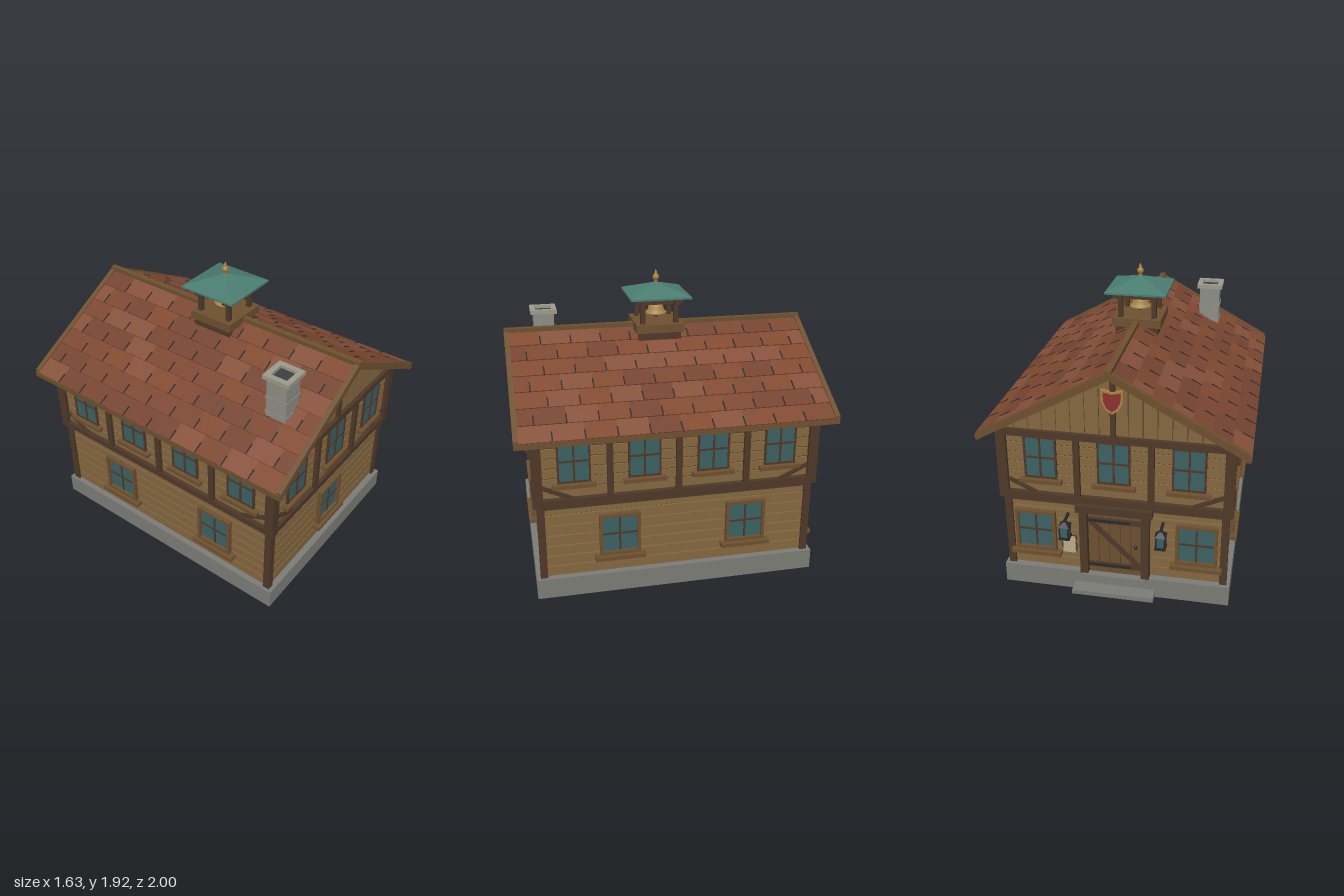
import * as THREE from 'three';

const mat = (color, extra = {}) => new THREE.MeshStandardMaterial({ color, flatShading: true, ...extra });
const M = {
  stone: mat(0x7b7b76), plank: mat(0x84663f), gap: mat(0x3a2a1c), timber: mat(0x4e3828), trim: mat(0x6d5030),
  glass: mat(0x3b6062), copper: mat(0x4a7c6f), gold: mat(0xa8823f), iron: mat(0x25282a), chimney: mat(0x8d8d85),
  cap: mat(0x9c9a8c), soot: mat(0x3a4040), paper: mat(0xb8ab8c), red: mat(0x8c3030),
  bell: mat(0xa8854a, { flatShading: false, side: THREE.DoubleSide }),
  tiles: [0x80492f, 0x7a4630, 0x744330, 0x85503a].map(c => mat(c)),
};

function add(parent, name, geo, m, x = 0, y = 0, z = 0) {
  const mesh = new THREE.Mesh(geo, m);
  mesh.name = name;
  mesh.position.set(x, y, z);
  parent.add(mesh);
  return mesh;
}
// Box given by its limits on each axis
const box = (p, name, m, x0, x1, y0, y1, z0, z1) =>
  add(p, name, new THREE.BoxGeometry(x1 - x0, y1 - y0, z1 - z0), m, (x0 + x1) / 2, (y0 + y1) / 2, (z0 + z1) / 2);
// Flat bar between two points of a wall
function bar(p, name, m, ax, ay, bx, by, w, z0, z1) {
  const b = add(p, name, new THREE.BoxGeometry(Math.hypot(bx - ax, by - ay), w, z1 - z0), m, (ax + bx) / 2, (ay + by) / 2, (z0 + z1) / 2);
  b.rotation.z = Math.atan2(by - ay, bx - ax);
}
// Polygon in xy pulled from z0 to z1
function prism(p, name, m, pts, z0, z1) {
  const geo = new THREE.ExtrudeGeometry(new THREE.Shape(pts.map(q => new THREE.Vector2(...q))), { depth: z1 - z0, bevelEnabled: false });
  return add(p, name, geo, m, 0, 0, z0);
}
let seed = 7;
const rand = () => (seed = (seed * 16807) % 2147483647) / 2147483647;

const SLOPE = 0.55;
const HX = 0.725, HZ = 0.905;

// Casement with four panes and a sill; d is the plank face it sits on
function windowUnit(wall, u, y0, y1, hw, d, out, frameMat, t) {
  const g = new THREE.Group();
  g.name = 'window';
  g.position.x = u;
  wall.add(g);
  box(g, 'glass', M.glass, -hw + t / 2, hw - t / 2, y0 + t / 2, y1 - t / 2, d - 0.03, d + 0.008);
  for (const s of [-1, 1]) box(g, 'jamb', frameMat, s * (hw - t / 2) - t / 2, s * (hw - t / 2) + t / 2, y0, y1, d - 0.02, out);
  box(g, 'head', frameMat, -hw, hw, y1 - t, y1, d - 0.02, out);
  box(g, 'foot', frameMat, -hw, hw, y0, y0 + t, d - 0.02, out);
  const my = (y0 + y1) / 2;
  box(g, 'mullion', M.timber, -0.006, 0.006, y0, y1, d, d + 0.014);
  box(g, 'transom', M.timber, -hw + t, hw - t, my - 0.006, my + 0.006, d, d + 0.014);
  box(g, 'sill', M.trim, -hw - 0.032, hw + 0.032, y0 - 0.03, y0 - 0.005, d - 0.02, out + 0.022);
}

// One wall seen from outside: half width w, outer depth d, local +z outward
function buildWall(root, name, turn, w, d, upper, posts, lower) {
  const g = new THREE.Group();
  g.name = name;
  g.rotation.y = turn;
  root.add(g);
  const siding = (y0, y1, n, z, hw) => {
    const h = (y1 - y0) / n;
    for (let i = 0; i < n; i++) box(g, 'plank', M.plank, -hw, hw, y0 + i * h + 0.005, y0 + (i + 1) * h - 0.004, z - 0.03, z);
  };
  const zl = d - 0.035, zu = d - 0.022;
  siding(0.135, 0.64, 7, zl, w - 0.05);
  siding(0.69, 1.09, 6, zu, w - 0.05);
  box(g, 'lowerPlate', M.timber, -w + 0.03, w - 0.03, 0.61, 0.645, zl - 0.02, zl + 0.006);
  box(g, 'floorBeam', M.timber, -w, w, 0.643, 0.688, d - 0.06, d);
  box(g, 'topPlate', M.timber, -w, w, 1.075, 1.118, d - 0.06, d - 0.001);
  for (const u of posts) box(g, 'stud', M.timber, u - 0.019, u + 0.019, 0.688, 1.118, d - 0.05, d + 0.002);
  for (const s of [-1, 1]) bar(g, 'brace', M.timber, s * (w - 0.06), 0.77, s * (w - 0.24), 0.685, 0.026, zu - 0.01, zu + 0.012);
  for (const u of upper) windowUnit(g, u, 0.793, 1.078, 0.102, zu, zu + 0.014, M.timber, 0.012);
  for (const u of lower) windowUnit(g, u, 0.263, 0.548, 0.13, zl, zl + 0.028, M.trim, 0.02);
  return g;
}

// Boarded gable with a king post
function buildGable(wall) {
  const top = x => 1.53 - SLOPE * Math.abs(x);
  prism(wall, 'gableBacking', M.gap, [[-0.7, 1.1], [0.7, 1.1], [0.7, top(0.7)], [0, top(0)], [-0.7, top(0.7)]], 0.83, 0.866);
  const step = 0.0875;
  for (let i = -8; i < 8; i++) {
    const a = i * step + 0.002, b = (i + 1) * step - 0.002;
    prism(wall, 'gableBoard', M.plank, [[a, 1.1], [b, 1.1], [b, top(b)], [a, top(a)]], 0.85, 0.878);
  }
  box(wall, 'kingPost', M.timber, -0.016, 0.016, 1.11, 1.53, 0.86, 0.9);
}

// Door, lanterns, notice, steps and shield on the back wall
function buildEntrance(wall) {
  for (let i = 0; i < 5; i++) box(wall, 'doorBoard', M.trim, -0.17 + i * 0.068 + 0.002, -0.17 + (i + 1) * 0.068 - 0.002, 0.135, 0.59, 0.85, 0.89);
  for (const s of [-1, 1]) box(wall, 'doorPost', M.timber, s * 0.195 - 0.025, s * 0.195 + 0.025, 0.135, 0.6, 0.85, 0.922);
  box(wall, 'doorLintel', M.timber, -0.24, 0.24, 0.59, 0.64, 0.85, 0.93);
  for (const y of [0.2, 0.53]) {
    box(wall, 'doorLedge', M.timber, -0.165, 0.165, y - 0.018, y + 0.018, 0.88, 0.9);
    box(wall, 'hingeStrap', M.iron, -0.17, 0.1, y - 0.007, y + 0.007, 0.89, 0.908);
  }
  bar(wall, 'doorBrace', M.timber, -0.15, 0.515, 0.15, 0.215, 0.032, 0.88, 0.9);
  add(wall, 'doorKnob', new THREE.SphereGeometry(0.013, 10, 8), M.iron, 0.135, 0.36, 0.905);
  box(wall, 'threshold', M.stone, -0.2, 0.2, 0.11, 0.137, 0.86, 0.935);
  box(wall, 'step', M.stone, -0.26, 0.26, 0.025, 0.055, 0.88, 1.0);
  for (const s of [-1, 1]) {
    const l = new THREE.Group();
    l.name = 'lantern';
    l.position.set(s * 0.3, 0.475, 0.96);
    wall.add(l);
    box(l, 'lanternGlass', M.glass, -0.025, 0.025, -0.04, 0.035, -0.025, 0.025);
    box(l, 'lanternBase', M.iron, -0.034, 0.034, -0.055, -0.04, -0.034, 0.034);
    const hood = add(l, 'lanternHood', new THREE.CylinderGeometry(0.012, 0.05, 0.028, 4), M.iron, 0, 0.048, 0);
    hood.rotation.y = Math.PI / 4;
    for (const a of [-1, 1]) for (const b of [-1, 1])
      box(l, 'lanternBar', M.iron, a * 0.027 - 0.004, a * 0.027 + 0.004, -0.04, 0.035, b * 0.027 - 0.004, b * 0.027 + 0.004);
    box(l, 'lanternBracket', M.iron, -0.008, 0.008, 0.058, 0.072, -0.1, 0.008);
  }
  // Notice hangs under the lantern on the model's left
  box(wall, 'noticeBoard', M.timber, -0.35, -0.25, 0.24, 0.38, 0.83, 0.87);
  box(wall, 'noticePaper', M.paper, -0.34, -0.26, 0.25, 0.37, 0.86, 0.876);
  const shield = k => [[-0.06, 0.06], [0, 0.045], [0.06, 0.06], [0.058, -0.01], [0.035, -0.055], [0, -0.08], [-0.035, -0.055], [-0.058, -0.01]]
    .reverse().map(([x, y]) => [x * k, 1.36 + y * k]);
  prism(wall, 'shieldRim', M.gold, shield(1.1), 0.89, 0.912);
  prism(wall, 'shieldFace', M.red, shield(0.85), 0.9, 0.92);
}

function buildRoof(root) {
  const chevron = (t, x, h) => [[x, t - SLOPE * x], [0, t], [-x, t - SLOPE * x], [-x, t - h - SLOPE * x], [0, t - h], [x, t - h - SLOPE * x]].reverse();
  prism(root, 'roofDeck', M.gap, chevron(1.55, 0.79, 0.028), -0.975, 0.975);
  for (const z of [-1, 0.968]) prism(root, 'bargeboard', M.trim, chevron(1.572, 0.805, 0.05), z, z + 0.032);
  box(root, 'ridgeBeam', M.trim, -0.018, 0.018, 1.54, 1.578, -1, 1);
  const len = Math.hypot(0.8, 0.8 * SLOPE), row = len / 7, w = 1.936 / 10;
  for (const s of [-1, 1]) {
    box(root, 'eavesBoard', M.trim, s * 0.8 - 0.015, s * 0.8 + 0.015, 1.08, 1.114, -0.995, 0.995);
    const side = new THREE.Group();
    side.name = 'roofSlope';
    side.rotation.y = s < 0 ? Math.PI : 0;
    const plane = new THREE.Group();
    plane.name = 'tileRows';
    plane.position.y = 1.55;
    plane.rotation.z = -Math.atan(SLOPE);
    side.add(plane);
    root.add(side);
    for (let r = 0; r < 7; r++) {
      const off = r % 2 ? w / 2 : 0;
      for (let k = -1; k < 10; k++) {
        const a = Math.max(-0.968, -0.968 + k * w + off), b = Math.min(0.968, -0.968 + (k + 1) * w + off);
        if (b - a < 0.01) continue;
        const tile = box(plane, 'tile', M.tiles[Math.floor(rand() * 4)], r * row, (r + 1) * row + 0.008, 0, 0.012, a, b);
        tile.rotation.z = 0.05;
        if (a > -0.96) box(plane, 'tileJoint', M.iron, (r + 0.5) * row, (r + 1) * row + 0.006, 0.004, 0.0165, a - 0.004, a + 0.004);
      }
    }
  }
}

function buildBellTower(root) {
  const g = new THREE.Group();
  g.name = 'bellTower';
  root.add(g);
  box(g, 'towerFoot', M.timber, -0.14, 0.14, 1.475, 1.54, -0.14, 0.14);
  box(g, 'towerBase', M.trim, -0.16, 0.16, 1.535, 1.59, -0.157, 0.157);
  for (const s of [-1, 1]) {
    for (const t of [-1, 1]) box(g, 'towerPost', M.timber, s * 0.11 - 0.015, s * 0.11 + 0.015, 1.59, 1.72, t * 0.11 - 0.015, t * 0.11 + 0.015);
    box(g, 'towerBeam', M.timber, -0.158, 0.158, 1.715, 1.755, s * 0.11 - 0.018, s * 0.11 + 0.018);
    box(g, 'towerBeam', M.timber, s * 0.11 - 0.018, s * 0.11 + 0.018, 1.716, 1.754, -0.157, 0.157);
  }
  box(g, 'bellYoke', M.timber, -0.11, 0.11, 1.712, 1.735, -0.014, 0.014);
  const profile = [[0, 0.075], [0.025, 0.073], [0.043, 0.06], [0.052, 0.035], [0.056, 0.014], [0.07, 0.008], [0.07, 0]].reverse();
  add(g, 'bell', new THREE.LatheGeometry(profile.map(p => new THREE.Vector2(...p)), 20), M.bell, 0, 1.634, 0);
  add(g, 'clapper', new THREE.CylinderGeometry(0.007, 0.009, 0.08, 8), M.iron, 0, 1.647, 0);
  box(g, 'towerRoofEdge', M.copper, -0.198, 0.198, 1.758, 1.77, -0.198, 0.198);
  const r = add(g, 'towerRoof', new THREE.ConeGeometry(0.198 * Math.SQRT2, 0.07, 4), M.copper, 0, 1.805, 0);
  r.rotation.y = Math.PI / 4;
  const fin = [[0.012, 0], [0.012, 0.02], [0.022, 0.04], [0.02, 0.052], [0.012, 0.06], [0.008, 0.075], [0, 0.095]];
  add(g, 'finial', new THREE.LatheGeometry(fin.map(p => new THREE.Vector2(...p)), 10), M.gold, 0, 1.828, 0);
}

function buildChimney(root) {
  const g = new THREE.Group();
  g.name = 'chimney';
  g.position.set(-0.395, 0, 0.72);
  root.add(g);
  box(g, 'shaft', M.chimney, -0.07, 0.07, 1.25, 1.58, -0.07, 0.07);
  for (const y of [1.34, 1.445]) box(g, 'band', M.chimney, -0.074, 0.074, y - 0.01, y + 0.01, -0.074, 0.074);
  for (const s of [-1, 1]) {
    box(g, 'cap', M.cap, -0.09, 0.09, 1.578, 1.606, s * 0.0725 - 0.0175, s * 0.0725 + 0.0175);
    box(g, 'cap', M.cap, s * 0.0725 - 0.0175, s * 0.0725 + 0.0175, 1.578, 1.606, -0.055, 0.055);
  }
  box(g, 'flue', M.soot, -0.055, 0.055, 1.57, 1.586, -0.055, 0.055);
}

export function createModel() {
  const root = new THREE.Group();
  root.name = 'timberHouse';
  box(root, 'foundation', M.stone, -HX, HX, 0, 0.135, -0.91, 0.91);
  box(root, 'lowerCore', M.gap, -0.675, 0.675, 0.13, 0.65, -0.855, 0.855);
  box(root, 'upperCore', M.gap, -0.69, 0.69, 0.645, 1.11, -0.87, 0.87);
  // Corner posts of both storeys
  for (const s of [-1, 1]) for (const t of [-1, 1]) {
    const a = new THREE.Group();
    a.name = 'corner';
    a.scale.set(1, 1, 1);
    root.add(a);
    box(a, 'lowerPost', M.timber, s * 0.682 - 0.023, s * 0.682 + 0.023, 0.135, 0.645, t * 0.862 - 0.023, t * 0.862 + 0.023);
    box(a, 'upperPost', M.timber, s * 0.695 - 0.031, s * 0.695 + 0.031, 0.64, 1.119, t * 0.875 - 0.031, t * 0.875 + 0.031);
  }
  const ends = [-0.455, 0, 0.455], studs = [-0.228, 0.228];
  const front = buildWall(root, 'frontWall', 0, HX, HZ, ends, studs, [0]);
  const back = buildWall(root, 'backWall', Math.PI, HX, HZ, ends, studs, [-0.51, 0.51]);
  for (const s of [-1, 1])
    buildWall(root, 'sideWall', s * Math.PI / 2, HZ, HX, [-0.65, -0.215, 0.22, 0.655], [-0.43, 0, 0.435], [-0.375, 0.445]);
  buildGable(front);
  buildGable(back);
  buildEntrance(back);
  buildRoof(root);
  buildBellTower(root);
  buildChimney(root);
  return root;
}
